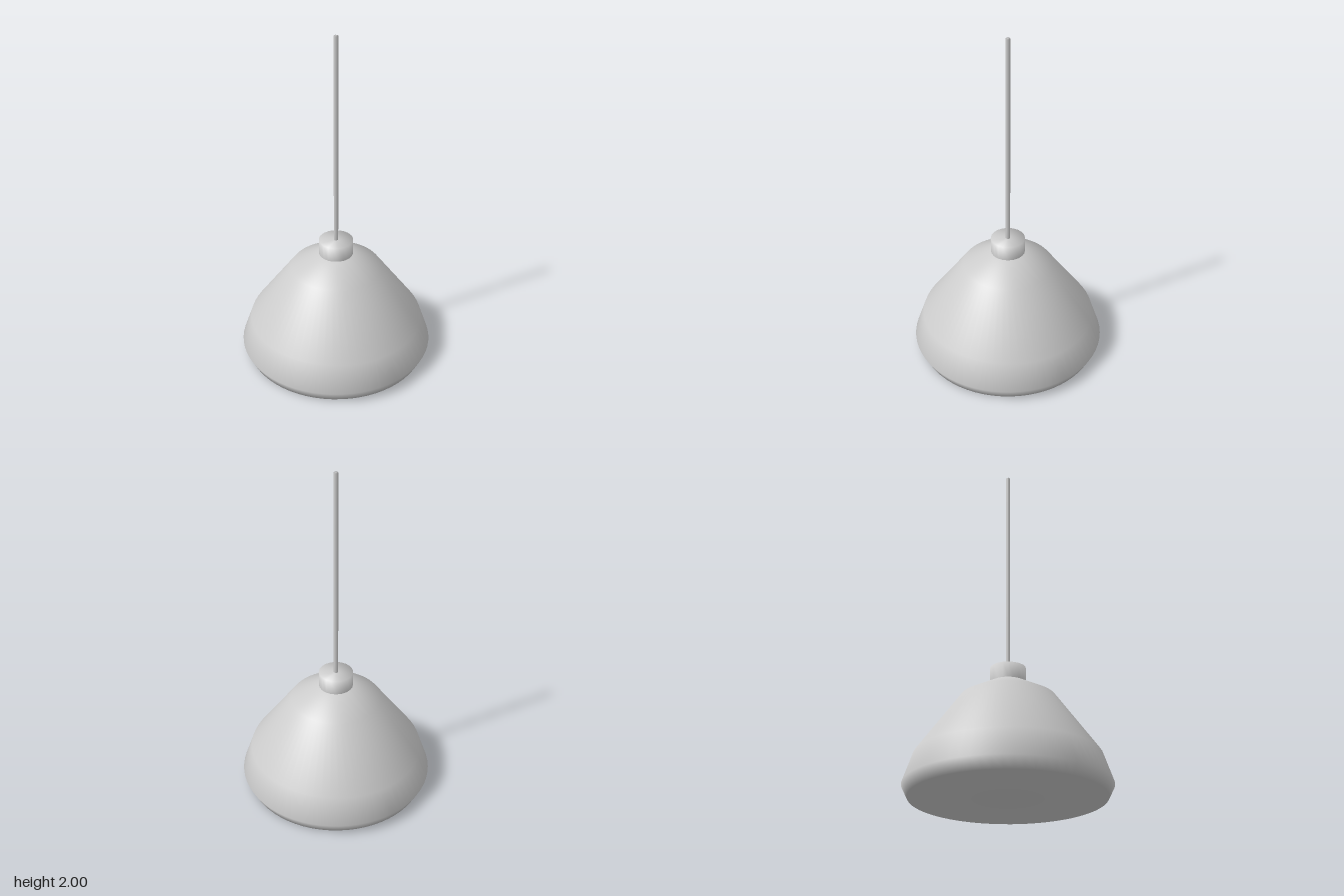
import * as THREE from 'three';

const grey = new THREE.MeshStandardMaterial({ color: 0xcccccc });
grey.name = 'lightGrey';

// Turned part from [radius, height] pairs, listed bottom to top, smooth over its edges
function turned(name, profile, sides) {
  const points = profile.map(([r, y]) => new THREE.Vector2(r, y));
  const mesh = new THREE.Mesh(new THREE.LatheGeometry(points, sides), grey);
  mesh.name = name;
  return mesh;
}

export function createModel() {
  const lamp = new THREE.Group();
  lamp.name = 'pendantLamp';
  lamp.add(
    // Wide shade with a turned-in rim and closed underside
    turned('shade', [[0, 0], [0.532, 0.005], [0.565, 0.07], [0.51, 0.23], [0.265, 0.57], [0.1, 0.66], [0, 0.66]], 64),
    // Short collar on top of the shade
    turned('collar', [[0.1, 0.655], [0.1, 0.75], [0, 0.75]], 20),
    // Thin hanging rod
    turned('rod', [[0, 0.75], [0.013, 0.75], [0.013, 2], [0, 2]], 8)
  );
  return lamp;
}
